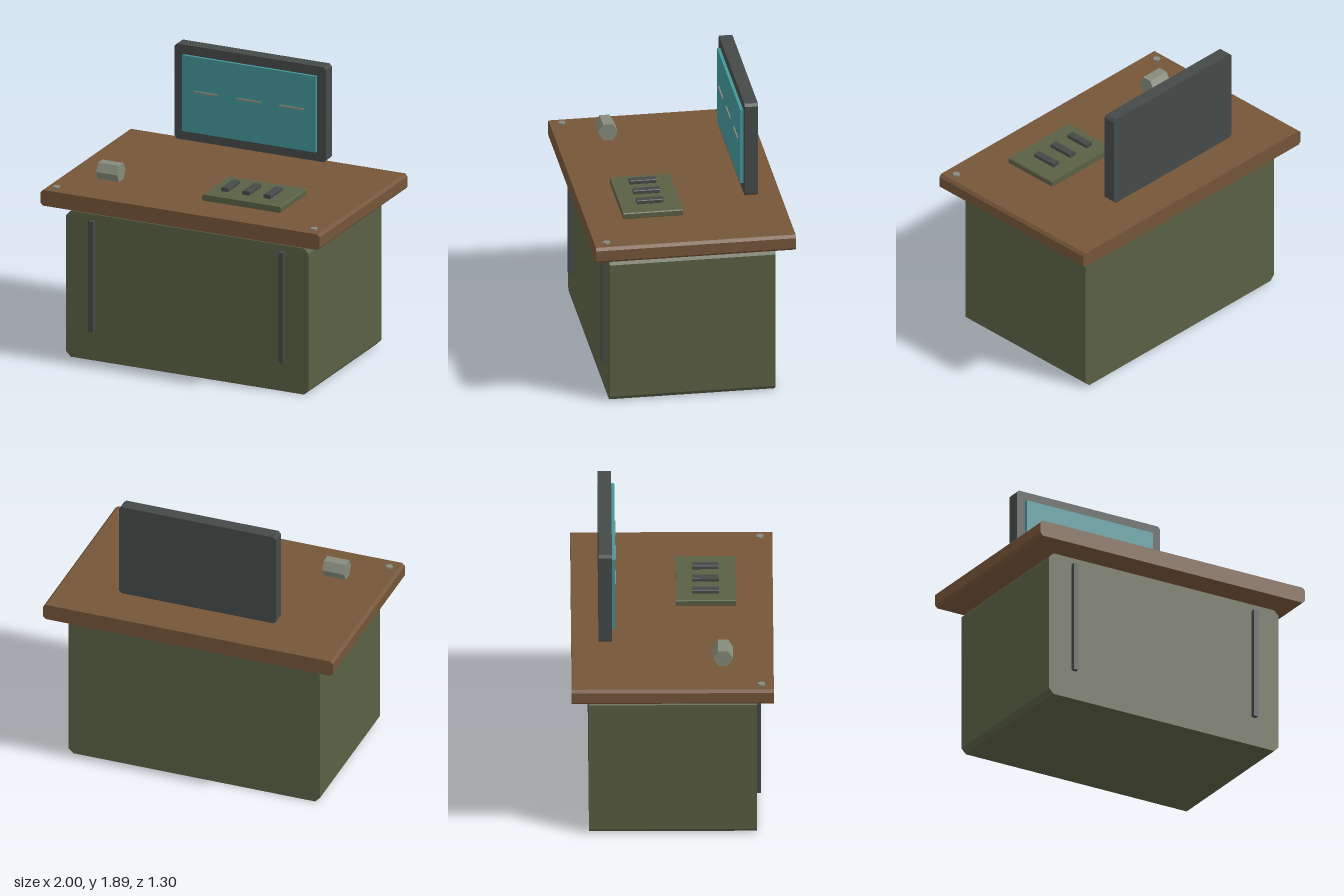
import * as THREE from 'three';

const mat = (color) => new THREE.MeshStandardMaterial({ color, flatShading: true });

export function createModel() {
  const group = new THREE.Group();
  const green = mat(0x5a6044), brown = mat(0x755539), dark = mat(0x454a49);
  const teal = mat(0x449699), pale = mat(0x858b7c);

  const add = (name, geometry, material, x = 0, y = 0, z = 0) => {
    const mesh = new THREE.Mesh(geometry, material);
    mesh.name = name;
    mesh.position.set(x, y, z);
    group.add(mesh);
    return mesh;
  };

  // Plain box given by its extents
  const box = (name, material, [x0, x1], [y0, y1], [z0, z1]) =>
    add(name, new THREE.BoxGeometry(x1 - x0, y1 - y0, z1 - z0), material,
      (x0 + x1) / 2, (y0 + y1) / 2, (z0 + z1) / 2);

  // Slab with its four lengthwise edges cut at the corners, extruded along z
  const slab = (name, material, [x0, x1], [y0, y1], [z0, z1], c) => {
    const outline = new THREE.Shape([
      [x0 + c, y0], [x1 - c, y0], [x1, y0 + c], [x1, y1 - c],
      [x1 - c, y1], [x0 + c, y1], [x0, y1 - c], [x0, y0 + c],
    ].map(([x, y]) => new THREE.Vector2(x, y)));
    const geometry = new THREE.ExtrudeGeometry(outline, { depth: z1 - z0, bevelEnabled: false });
    return add(name, geometry, material, 0, 0, z0);
  };

  // Desk body and worktop
  slab('cabinet', green, [-0.868, 0.868], [0, 1], [-0.54, 0.543], 0.033);
  slab('worktop', brown, [-1, 1], [1.047, 1.154], [-0.652, 0.652], 0.018);

  // Upright front rails and worktop bolts
  for (const [side, s] of [['left', 1], ['right', -1]]) {
    const cx = s * 0.68;
    slab(side + 'FrontRail', dark, [cx - 0.018, cx + 0.018], [0.2, 0.957], [0.54, 0.571], 0.003);
    const bolt = new THREE.CylinderGeometry(0.025, 0.025, 0.018, 6).rotateY(Math.PI / 6);
    add(side + 'Bolt', bolt, pale, s * 0.923, 1.155, 0.573);
  }

  // Monitor
  slab('monitorHousing', dark, [-0.542, 0.542], [1.243, 1.893], [-0.477, -0.39], 0.017);
  box('screen', teal, [-0.478, 0.478], [1.308, 1.828], [-0.392, -0.37]);
  for (const x of [-0.307, 0, 0.307]) {
    box('screenLine', pale, [x - 0.087, x + 0.087], [1.585, 1.597], [-0.372, -0.362]);
  }

  // Control pad with three keys
  slab('controlPad', green, [0.043, 0.605], [1.165, 1.206], [0.023, 0.413], 0.006);
  for (const x of [0.15, 0.303, 0.455]) {
    slab('key', dark, [x - 0.026, x + 0.026], [1.205, 1.232], [0.13, 0.303], 0.004);
  }

  // Six-sided cup lying on its side
  const cup = new THREE.CylinderGeometry(0.064, 0.064, 0.15, 6).rotateZ(Math.PI / 2);
  add('cup', cup, pale, -0.653, 1.232, 0.326);

  return group;
}
